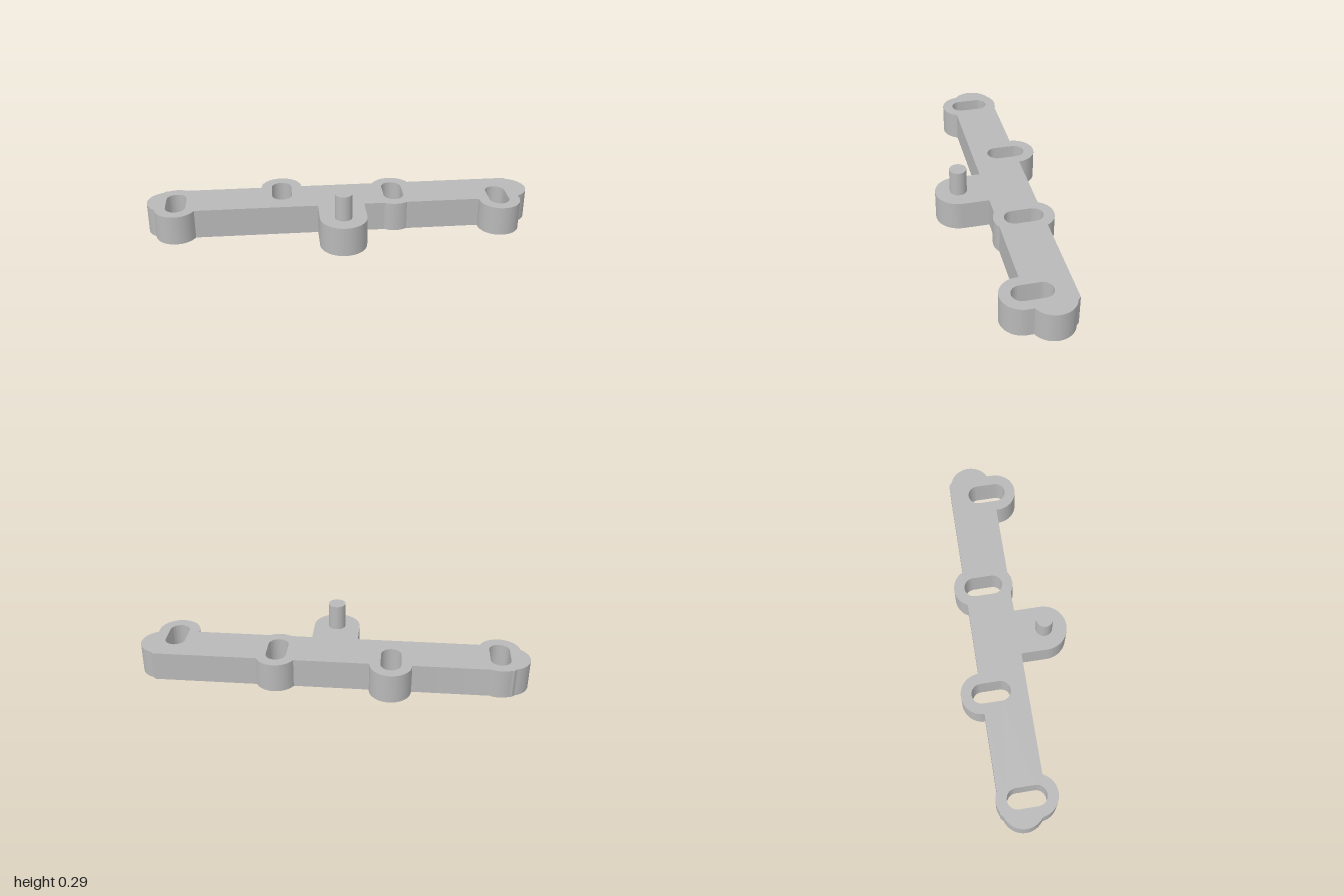
import * as THREE from 'three';
import { toCreasedNormals } from 'three/addons/utils/BufferGeometryUtils.js';

const HEIGHT = 0.155;
const R = 0.107; // radius of every boss and bar end
const SLOT_R = 0.052;

// Plan drawn with y pointing to the back; [x, lower y, upper y] of the slot arc centres
const SLOTS = [
  [-0.85, 0.004, 0.1],
  [-0.3, 0.097, 0.193],
  [0.285, 0.05, 0.146],
  [0.829, -0.05, 0.046],
];

function plateShape() {
  const s = new THREE.Shape();
  // Counterclockwise arc about (cx, cy) between two points
  const arc = (cx, cy, r, x0, y0, x1, y1) =>
    s.absarc(cx, cy, r, Math.atan2(y0 - cy, x0 - cx), Math.atan2(y1 - cy, x1 - cx), false);
  const front = -0.04, back = 0.195;

  // Front edge, left to right
  s.moveTo(-0.9563, -0.0083);
  arc(-0.85, 0.004, R, -0.9563, -0.0083, -0.7525, front);
  s.lineTo(-0.12, front);
  s.lineTo(-0.12, -0.177);
  s.absarc(0, -0.177, 0.12, Math.PI, 2 * Math.PI, false);
  s.lineTo(0.12, front);
  arc(0.285, 0.05, R, 0.227, front, 0.343, front);
  s.lineTo(0.7225, front);
  arc(0.829, -0.05, R, 0.7225, front, 0.936, -0.05);
  // Rounded end and back edge, right to left
  arc(0.893, 0.078, R, 0.936, -0.02, 0.925, 0.18);
  s.lineTo(0.91, back);
  arc(0.285, 0.146, R, 0.38, back, 0.19, back);
  arc(-0.3, 0.193, R, -0.193, back, -0.407, back);
  arc(-0.85, 0.1, R, -0.801, back, -0.899, back);
  s.lineTo(-0.91, back);
  arc(-0.893, 0.078, R, -0.925, 0.18, -0.9563, -0.0083);

  // Slotted holes
  for (const [x, lo, hi] of SLOTS) {
    const hole = new THREE.Path();
    hole.absarc(x, hi, SLOT_R, 0, Math.PI, false);
    hole.absarc(x, lo, SLOT_R, Math.PI, 2 * Math.PI, false);
    hole.closePath();
    s.holes.push(hole);
  }
  return s;
}

export function createModel() {
  const model = new THREE.Group();
  model.name = 'slottedBracket';
  const grey = new THREE.MeshStandardMaterial({ color: 0xb8b8b8 });
  grey.name = 'grey';

  // Slotted plate with the front tab
  const plateGeo = new THREE.ExtrudeGeometry(plateShape(), {
    depth: HEIGHT, bevelEnabled: false, curveSegments: 28,
  });
  plateGeo.rotateX(-Math.PI / 2);
  const plate = new THREE.Mesh(toCreasedNormals(plateGeo, 0.45), grey);
  plate.name = 'slottedPlate';
  model.add(plate);

  // Upright pin on the tab
  const pinHeight = 0.288 - HEIGHT;
  const pin = new THREE.Mesh(new THREE.CylinderGeometry(0.044, 0.044, pinHeight, 40), grey);
  pin.name = 'pin';
  pin.position.set(0, HEIGHT + pinHeight / 2, 0.177);
  model.add(pin);

  return model;
}
